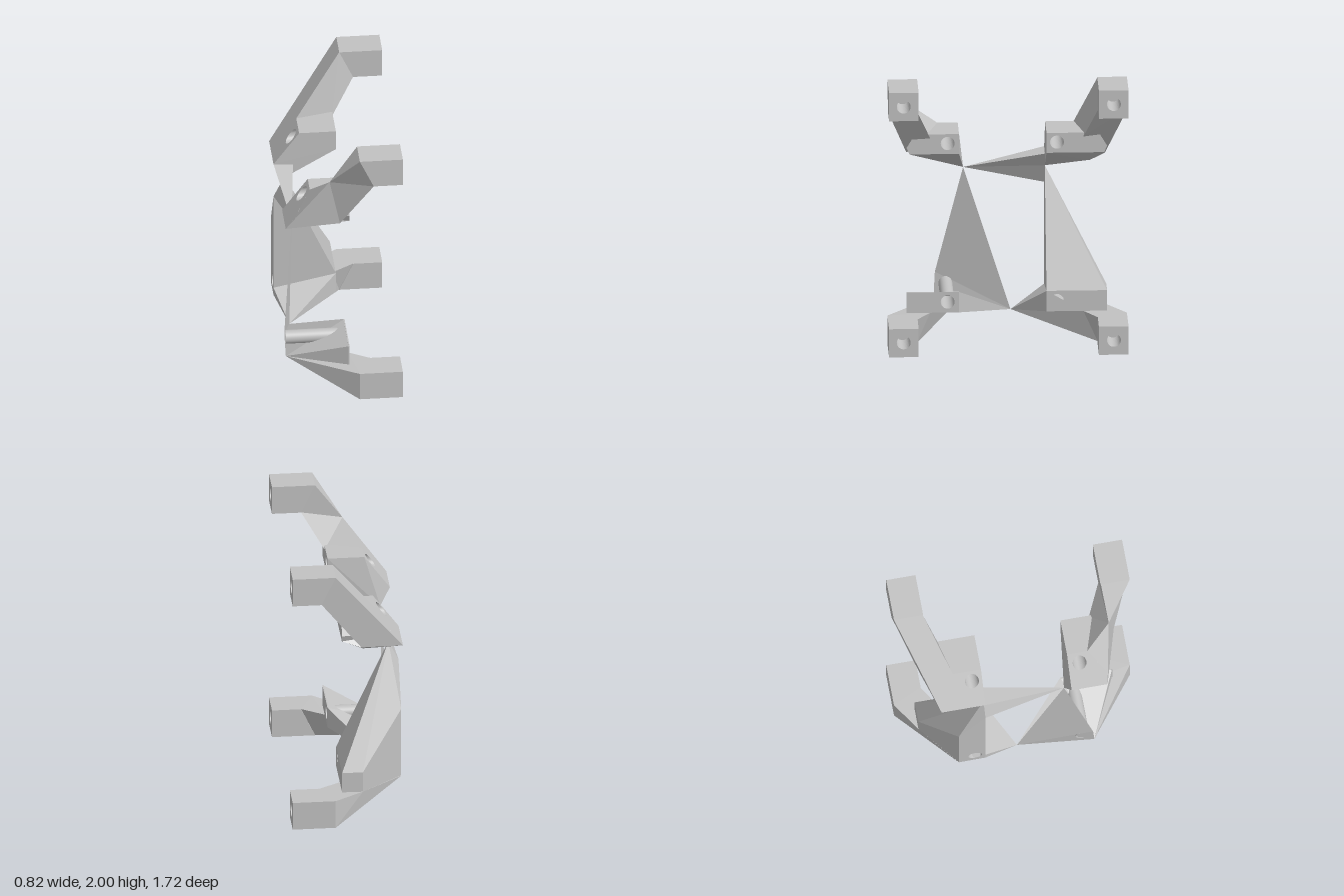
import * as THREE from 'three';
import { ConvexGeometry } from 'three/addons/geometries/ConvexGeometry.js';

const grey = new THREE.MeshStandardMaterial({ color: 0xc2c2c2, side: THREE.DoubleSide });
grey.name = 'light grey';
const HOLE = 0.05;

export function createModel() {
  const group = new THREE.Group();

  const add = (name, geometry) => {
    const mesh = new THREE.Mesh(geometry, grey);
    mesh.name = name;
    group.add(mesh);
    return mesh;
  };

  // Convex solid around a few corner points
  const hull = (name, ...points) =>
    add(name, new ConvexGeometry(points.map((p) => new THREE.Vector3(...p))));

  // Open facets, each given by three corners
  const facets = (name, ...triangles) => {
    const geometry = new THREE.BufferGeometry();
    geometry.setAttribute('position', new THREE.Float32BufferAttribute(triangles.flat(2), 3));
    geometry.computeVertexNormals();
    return add(name, geometry);
  };

  // Block drilled along x; its rear face may follow a slope xBack(y)
  const drilledBlock = (name, [z0, z1], [y0, y1], [holeZ, holeY], xBack, xFront) => {
    const shape = new THREE.Shape();
    shape.moveTo(-z0, y0).lineTo(-z1, y0).lineTo(-z1, y1).lineTo(-z0, y1).closePath();
    shape.holes.push(new THREE.Path().absarc(-holeZ, holeY, HOLE, 0, Math.PI * 2, true));
    const geometry = new THREE.ExtrudeGeometry(shape, { depth: 1, bevelEnabled: false, curveSegments: 24 });
    geometry.rotateY(Math.PI / 2);
    const pos = geometry.attributes.position;
    for (let i = 0; i < pos.count; i++) {
      pos.setX(i, pos.getX(i) > 0.5 ? xFront : xBack(pos.getY(i)));
    }
    geometry.computeVertexNormals();
    return add(name, geometry);
  };

  // Shared meeting points of the frame
  const A = [-0.336, 1.185, 0.3];
  const B = [-0.336, 1.19, -0.287];
  const P = [-0.32, 0.11, -0.04];
  const slope = (y) => -0.41 + (y - 1.31) * 0.739;

  // Four drilled arm ends with blind holes
  for (const s of [1, -1]) {
    const zs = [0.647 * s, 0.86 * s];
    drilledBlock('upperArmEnd', zs, [1.787, 2], [0.755 * s, 1.895], () => 0.2, 0.41);
    drilledBlock('lowerArmEnd', zs, [0, 0.213], [0.755 * s, 0.11], () => 0.2, 0.41);
    hull('upperArmBend', ...zs.flatMap((z) => [[0.1, 2, z], [0.2, 2, z], [0.2, 1.787, z]]));
    hull('lowerArmBend', ...zs.flatMap((z) => [[0.1, 0, z], [0.2, 0, z], [0.2, 0.213, z]]),
      [0.1, 0.213, 0.86 * s]);
  }

  // Upper lugs: drilled part, plain outer part and the wedge under them
  const upperLug = (s, inner, holeZ, apex, extra) => {
    const mid = 0.49 * s;
    drilledBlock('upperLug', [inner, mid], [1.41, 1.56], [holeZ, 1.49], slope, 0.04);
    hull('upperLugOuter',
      [0.04, 1.41, mid], [0.04, 1.56, mid], [slope(1.56), 1.56, mid], [slope(1.41), 1.41, mid],
      [0.04, 1.56, 0.66 * s], [0.04, 1.46, 0.72 * s], [0.04, 1.41, 0.7 * s],
      [slope(1.41), 1.41, 0.6 * s]);
    hull('upperLugWedge',
      [-0.41, 1.31, inner], [-0.41, 1.31, 0.605 * s],
      [slope(1.41), 1.41, inner], [slope(1.41), 1.41, 0.61 * s],
      [0.04, 1.41, inner], [0.04, 1.41, 0.7 * s], apex, ...extra);
  };
  const backElbow = [-0.1, 1.36, -0.71];
  upperLug(1, 0.343, 0.425, A, []);
  upperLug(-1, -0.285, -0.36, B, [[-0.12, 1.3, -0.605], backElbow]);

  // Inner tip of the front upper lug
  hull('upperLugTip', A, [-0.41, 1.31, 0.343], [slope(1.56), 1.56, 0.343],
    [0.04, 1.56, 0.343], [0.04, 1.41, 0.343]);

  // Back upper arm
  hull('backUpperArm',
    [0.1, 2, -0.65], [0.1, 2, -0.86], [0.2, 1.787, -0.65], [0.2, 1.787, -0.86],
    [slope(1.56), 1.56, -0.49], [-0.41, 1.31, -0.605], [0.04, 1.53, -0.55], backElbow);

  // Front upper arm, pinched at its middle
  const pinch = [-0.1, 1.725, 0.67];
  const elbow = [-0.03, 1.405, 0.72];
  const innerBend = [0.04, 1.53, 0.55];
  const armIn = [0.2, 1.787, 0.65], armOut = [0.2, 1.787, 0.86];
  hull('frontUpperArmTop', [0.1, 2, 0.65], [0.1, 2, 0.86], armIn, armOut, pinch);
  hull('frontUpperArmMiddle', armIn, armOut, pinch, elbow, innerBend);
  hull('frontUpperArmFoot', pinch, elbow, innerBend, [slope(1.56), 1.56, 0.49], [-0.41, 1.31, 0.605]);

  // Tapered bar across the back of the frame, notched at its end
  const back = -0.285;
  hull('crossBarTop', A, B, [-0.41, 1.31, back], [-0.27, 1.3, back]);
  facets('crossBarBottom', [A, B, [-0.41, 1.04, back]]);

  // Back lower lug with its tall tapered post
  drilledBlock('backLowerLug', [back, -0.48], [0.21, 0.365], [-0.36, 0.29], () => -0.41, 0.04);
  hull('backLowerLugOuter', ...[0.21, 0.365].flatMap((y) =>
    [[-0.41, y, -0.48], [0.04, y, -0.48], [0.04, y, -0.72], [-0.11, y, -0.72]]));
  hull('backPost', B, [-0.41, 1.04, back], [-0.41, 0.74, -0.48],
    [-0.41, 0.365, back], [-0.41, 0.365, -0.48], [-0.11, 0.365, -0.72],
    [0.04, 0.365, -0.72], [0.04, 0.365, back]);
  hull('backLowerTip', P, [-0.41, 0.21, back], [-0.41, 0.27, back], [0.04, 0.365, back], [0.04, 0.21, back],
    [-0.41, 0.205, -0.48], [0.04, 0.21, -0.55]);

  // Back lower arm: long tapered part, then the bend into its end
  const backJoint = [[0.1, 0, -0.65], [0.1, 0, -0.86], [0.1, 0.213, -0.86],
    [-0.11, 0.21, -0.72], [0.04, 0.21, -0.55]];
  hull('backLowerArm', P, [-0.41, 0.205, -0.48], ...backJoint);
  hull('backLowerArmBend', [0.2, 0.213, -0.65], ...backJoint);

  // Front lower corner: thin sheet, drilled face, open lug and bare tube
  const R = [-0.4, 0.18, 0.51];
  const T = [-0.29, 0.1, 0.42];
  const S = [-0.41, 0.37, 0.5];
  facets('frontSheet', [A, S, P], [S, R, P]);
  drilledBlock('frontLowerFace', [0.343, 0.72], [0.21, 0.365], [0.425, 0.29], () => 0.032, 0.04);
  const topIn = [0.04, 0.365, 0.343], lowIn = [0.04, 0.21, 0.343];
  const topOut = [0.04, 0.365, 0.72], lowOut = [0.04, 0.21, 0.72];
  facets('frontLowerLug',
    [P, topIn, lowIn], [P, R, topIn], [R, topOut, topIn], [R, lowOut, topOut],
    [P, lowIn, T], [T, lowIn, lowOut], [T, lowOut, R], [P, T, R]);
  const tube = add('boltTube', new THREE.CylinderGeometry(HOLE, HOLE, 0.43, 32, 1, true));
  tube.rotation.z = Math.PI / 2;
  tube.position.set(-0.18, 0.29, 0.425);
  hull('frontLowerArm', [0.1, 0, 0.65], [0.1, 0, 0.86], [0.1, 0.213, 0.86], [0.2, 0.213, 0.65],
    [0.04, 0.21, 0.55], R, T);

  return group;
}
